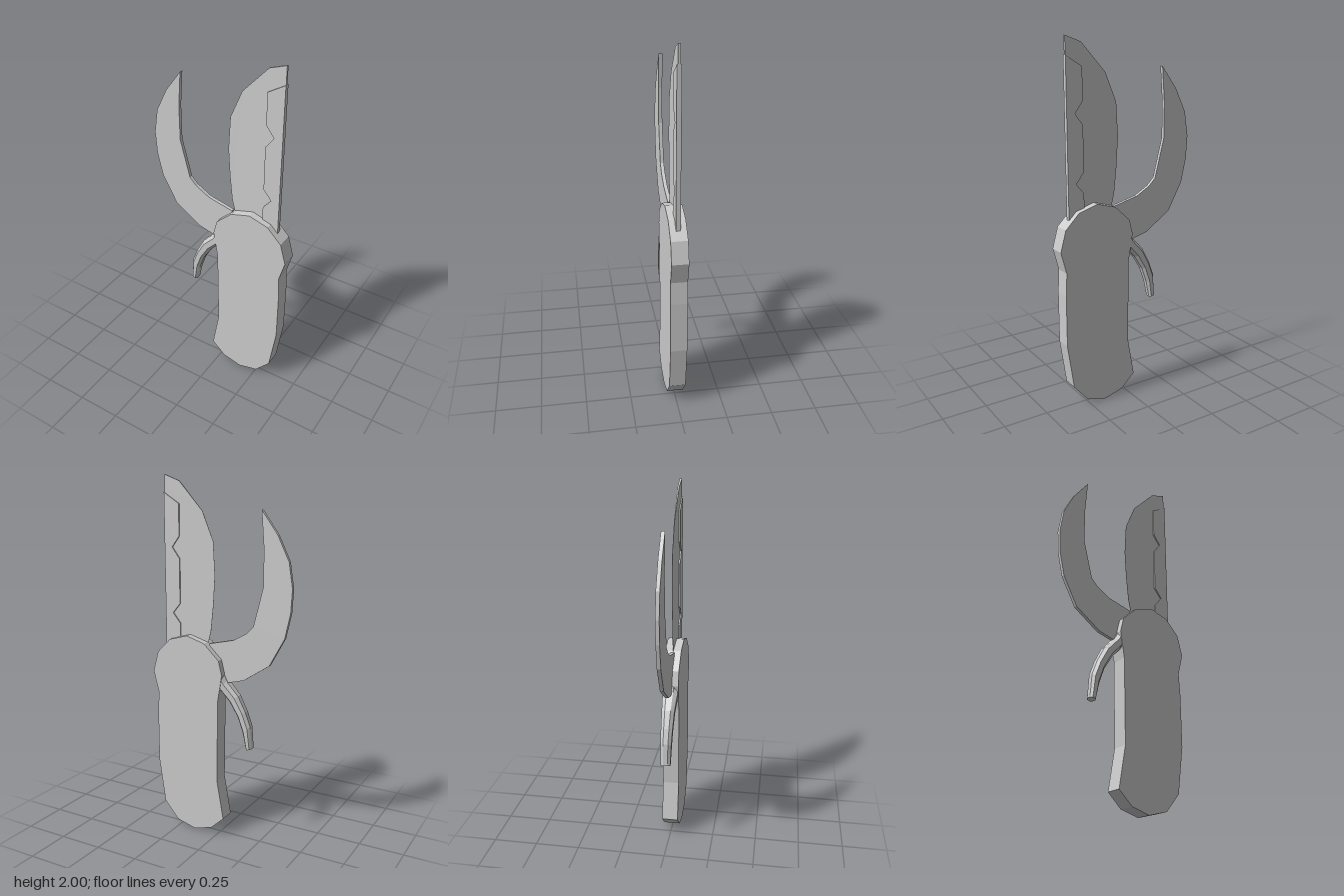
import * as THREE from 'three';

const material = new THREE.MeshStandardMaterial({ color: 0xcccccc, side: THREE.DoubleSide });

// flat plate with the given outline, centred on z = 0
function plate(name, outline, thickness) {
  const shape = new THREE.Shape(outline.map(([x, y]) => new THREE.Vector2(x, y)));
  const geometry = new THREE.ExtrudeGeometry(shape, { depth: thickness, bevelEnabled: false });
  geometry.translate(0, 0, -thickness / 2);
  const mesh = new THREE.Mesh(geometry, material);
  mesh.name = name;
  return mesh;
}

// octagonal sections spanning outer and inner edge points, closed at both ends
function loft(name, sections) {
  const ring = [[0, 0.45], [0.25, 1], [0.75, 1], [1, 0.45], [1, -0.45], [0.75, -1], [0.25, -1], [0, -0.45]];
  const n = ring.length, positions = [], index = [];
  for (const [ox, oy, ix, iy, half] of sections)
    for (const [u, w] of ring) positions.push(ox + (ix - ox) * u, oy + (iy - oy) * u, half * w);
  for (let s = 0; s < sections.length - 1; s++)
    for (let k = 0; k < n; k++) {
      const a = s * n + k, b = s * n + (k + 1) % n;
      index.push(a, b, a + n, b, b + n, a + n);
    }
  const last = (sections.length - 1) * n;
  for (let k = 1; k < n - 1; k++) index.push(0, k + 1, k, last, last + k, last + k + 1);
  const indexed = new THREE.BufferGeometry();
  indexed.setAttribute('position', new THREE.Float32BufferAttribute(positions, 3));
  indexed.setIndex(index);
  const geometry = indexed.toNonIndexed();
  geometry.computeVertexNormals();
  const mesh = new THREE.Mesh(geometry, material);
  mesh.name = name;
  return mesh;
}

export function createModel() {
  const group = new THREE.Group();
  group.name = 'pruningShears';

  // handle slab
  group.add(plate('handle', [
    [0.15, 0], [0.265, 0.03], [0.35, 0.13], [0.387, 0.385], [0.387, 0.675], [0.38, 0.8],
    [0.412, 0.92], [0.38, 1.035], [0.3, 1.115], [0.19, 1.147], [0.08, 1.115], [-0.01, 1.03],
    [-0.03, 0.95], [-0.015, 0.86], [-0.005, 0.8], [0, 0.33], [-0.04, 0.105], [0.04, 0.03],
  ], 0.09));

  // curved lever on the handle's edge
  group.add(loft('lever', [
    [0.02, 1.05, 0.02, 0.8, 0.044],
    [-0.045, 0.915, -0.015, 0.855, 0.041],
    [-0.115, 0.84, -0.065, 0.8, 0.035],
    [-0.16, 0.755, -0.115, 0.72, 0.032],
    [-0.19, 0.675, -0.145, 0.635, 0.03],
    [-0.2, 0.55, -0.165, 0.54, 0.026],
  ]));

  // hooked counter blade
  group.add(plate('hookBlade', [
    [-0.24, 1.83], [-0.33, 1.71], [-0.395, 1.58], [-0.417, 1.445], [-0.41, 1.32], [-0.38, 1.185],
    [-0.295, 1.03], [-0.145, 0.93], [-0.05, 0.905], [0.065, 0.93], [0.065, 1.11], [-0.08, 1.145],
    [-0.16, 1.19], [-0.2, 1.23], [-0.255, 1.445], [-0.255, 1.64],
  ], 0.02));

  // cutting blade, thinning towards its edge
  const blade = plate('cuttingBlade', [
    [0.34, 2], [0.25, 1.967], [0.11, 1.815], [0.045, 1.66], [0.035, 1.48], [0.045, 1.32],
    [0.06, 1.18], [0.08, 1.1], [0.1, 1.07], [0.34, 1.07],
  ], 0.012);
  const p = blade.geometry.attributes.position;
  for (let i = 0; i < p.count; i++)
    p.setZ(i, p.getZ(i) * Math.max(0.05, (p.getX(i) - 0.03) / 0.31));
  blade.geometry.computeVertexNormals();
  group.add(blade);

  // thicker notched spine
  group.add(plate('bladeSpine', [
    [0.342, 1.907], [0.25, 1.85], [0.25, 1.68], [0.295, 1.62], [0.25, 1.56],
    [0.25, 1.315], [0.295, 1.26], [0.25, 1.205], [0.25, 1.07], [0.342, 1.07],
  ], 0.024));

  return group;
}
